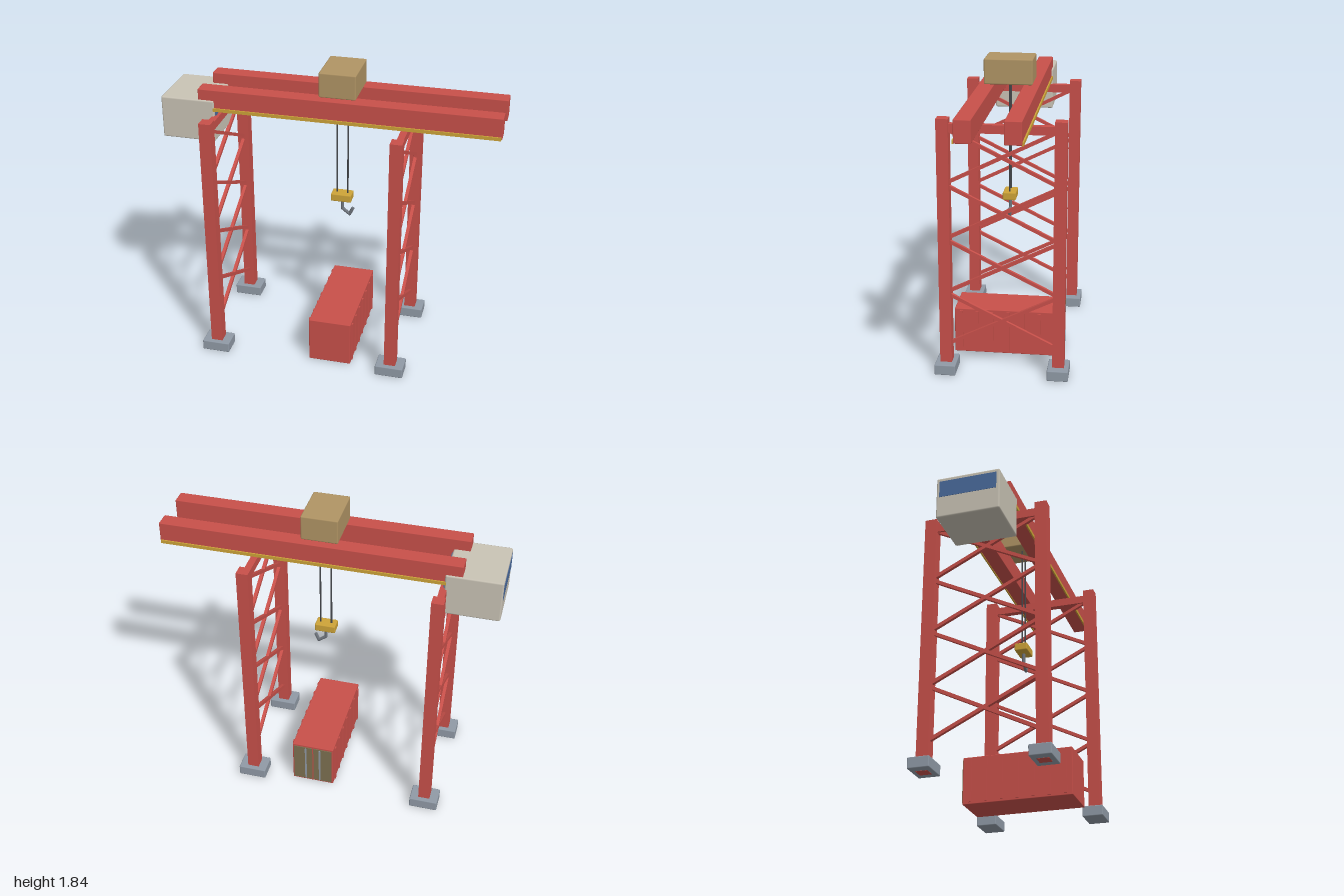
import * as THREE from 'three';
import { RoundedBoxGeometry } from 'three/addons/geometries/RoundedBoxGeometry.js';

const mat = (name, color) => Object.assign(new THREE.MeshStandardMaterial({ color }), { name });

export function createModel() {
  const red = mat('crane red', 0xc8504a);
  const yellow = mat('safety yellow', 0xcda338);
  const tan = mat('trolley tan', 0xb09464);
  const olive = mat('door olive', 0x7d7050);
  const cream = mat('cabin cream', 0xc9c3b5);
  const blue = mat('window blue', 0x4a6a9c);
  const slate = mat('footing grey', 0x909aa6);
  const steel = mat('hook steel', 0x70767e);
  const dark = mat('rope grey', 0x45484c);

  const crane = new THREE.Group();
  crane.name = 'gantryCrane';

  const add = (name, geometry, material, parent = crane) => {
    const mesh = new THREE.Mesh(geometry, material);
    mesh.name = name;
    parent.add(mesh);
    return mesh;
  };
  // Box from its limits on each axis, with an optional softened edge
  const box = (name, material, [x0, x1], [y0, y1], [z0, z1], bevel = 0, parent = crane) => {
    const size = [x1 - x0, y1 - y0, z1 - z0];
    const geometry = bevel ? new RoundedBoxGeometry(...size, 1, bevel) : new THREE.BoxGeometry(...size);
    const mesh = add(name, geometry, material, parent);
    mesh.position.set((x0 + x1) / 2, (y0 + y1) / 2, (z0 + z1) / 2);
    return mesh;
  };
  // Round bar between two points
  const bar = (name, material, a, b, radius, parent = crane) => {
    const p = new THREE.Vector3(...a), q = new THREE.Vector3(...b);
    const mesh = add(name, new THREE.CylinderGeometry(radius, radius, p.distanceTo(q), 8), material, parent);
    mesh.position.copy(p).add(q).multiplyScalar(0.5);
    mesh.quaternion.setFromUnitVectors(new THREE.Vector3(0, 1, 0), q.sub(p).normalize());
    return mesh;
  };

  // Two leg frames: legs, footings, top beam and crossed braces
  for (const x of [-0.668, 0.442]) {
    const frame = new THREE.Group();
    frame.name = 'legFrame';
    crane.add(frame);
    for (const s of [-1, 1]) {
      const z = s * 0.335;
      box('leg', red, [x - 0.035, x + 0.035], [x < 0 ? -0.001 : 0.01, 1.555], [z - 0.035, z + 0.035], 0, frame);
      box('footing', slate, [x - 0.086, x + 0.086], [0, 0.065], [z - 0.063, z + 0.063], 0.006, frame);
    }
    box('topBeam', red, [x - 0.02, x + 0.02], [1.475, 1.525], [-0.305, 0.305], 0, frame);
    const bay = 1.333 / 4;
    for (let i = 0; i < 4; i++) {
      for (const s of [-1, 1]) {
        const low = 0.168 + i * bay;
        const brace = box('brace', red, [-0.01, 0.01], [-0.01, 0.01], [-0.372, 0.372], 0, frame);
        brace.position.set(x, low + bay / 2, 0);
        brace.rotation.x = s * Math.atan2(bay, 0.67);
      }
    }
  }

  // Twin girders with a yellow strip along each outer lower edge
  for (const s of [-1, 1]) {
    const span = (a, b) => (s > 0 ? [a, b] : [-b, -a]);
    box('girder', red, [-0.77, 1], [1.558, 1.685], span(0.085, 0.178), 0.004);
    box('girderStrip', yellow, [-0.77, 0.995], [1.555, 1.575], span(0.177, 0.186));
  }

  // Operator cabin with windows at both ends
  box('cabin', cream, [-0.998, -0.673], [1.363, 1.62], [-0.187, 0.187], 0.01);
  box('outerWindow', blue, [-1, -0.995], [1.495, 1.597], [-0.168, 0.168]);
  box('innerWindow', blue, [-0.674, -0.666], [1.495, 1.597], [-0.168, 0.168]);

  // Trolley, ropes, hook block and hook
  box('trolley', tan, [-0.055, 0.163], [1.69, 1.84], [-0.142, 0.142], 0.008);
  for (const x of [0.021, 0.088]) bar('rope', dark, [x, 1.02, 0], [x, 1.7, 0], 0.005);
  box('hookBlock', yellow, [-0.01, 0.116], [0.976, 1.025], [-0.04, 0.04], 0.007);
  const hook = new THREE.Group();
  hook.name = 'hook';
  crane.add(hook);
  const bends = [[0.055, 0.98, 0], [0.055, 0.915, 0], [0.1, 0.88, 0], [0.121, 0.925, 0]];
  for (let i = 0; i < 3; i++) bar('hookSegment', steel, bends[i], bends[i + 1], 0.01, hook);
  for (const p of bends.slice(1, 3)) {
    add('hookBend', new THREE.SphereGeometry(0.01, 8, 6), steel, hook).position.set(...p);
  }

  // Ribbed container with a pair of doors at the back
  const container = new THREE.Group();
  container.name = 'container';
  crane.add(container);
  const cx = 0.055;
  box('containerBody', red, [cx - 0.131, cx + 0.131], [0, 0.287], [-0.333, 0.33], 0.004, container);
  for (const s of [-1, 1]) {
    for (let i = -3; i <= 3; i++) {
      const x = cx + s * 0.133, z = i * 0.096;
      box('sideRib', red, [x - 0.006, x + 0.006], [0.012, 0.275], [z - 0.009, z + 0.009], 0, container);
    }
    const d = cx + s * 0.063;
    box('door', olive, [d - 0.059, d + 0.059], [0.012, 0.275], [-0.338, -0.331], 0, container);
    const r = cx + s * 0.045;
    box('doorRod', slate, [r - 0.005, r + 0.005], [0.02, 0.268], [-0.343, -0.337], 0, container);
  }

  return crane;
}
